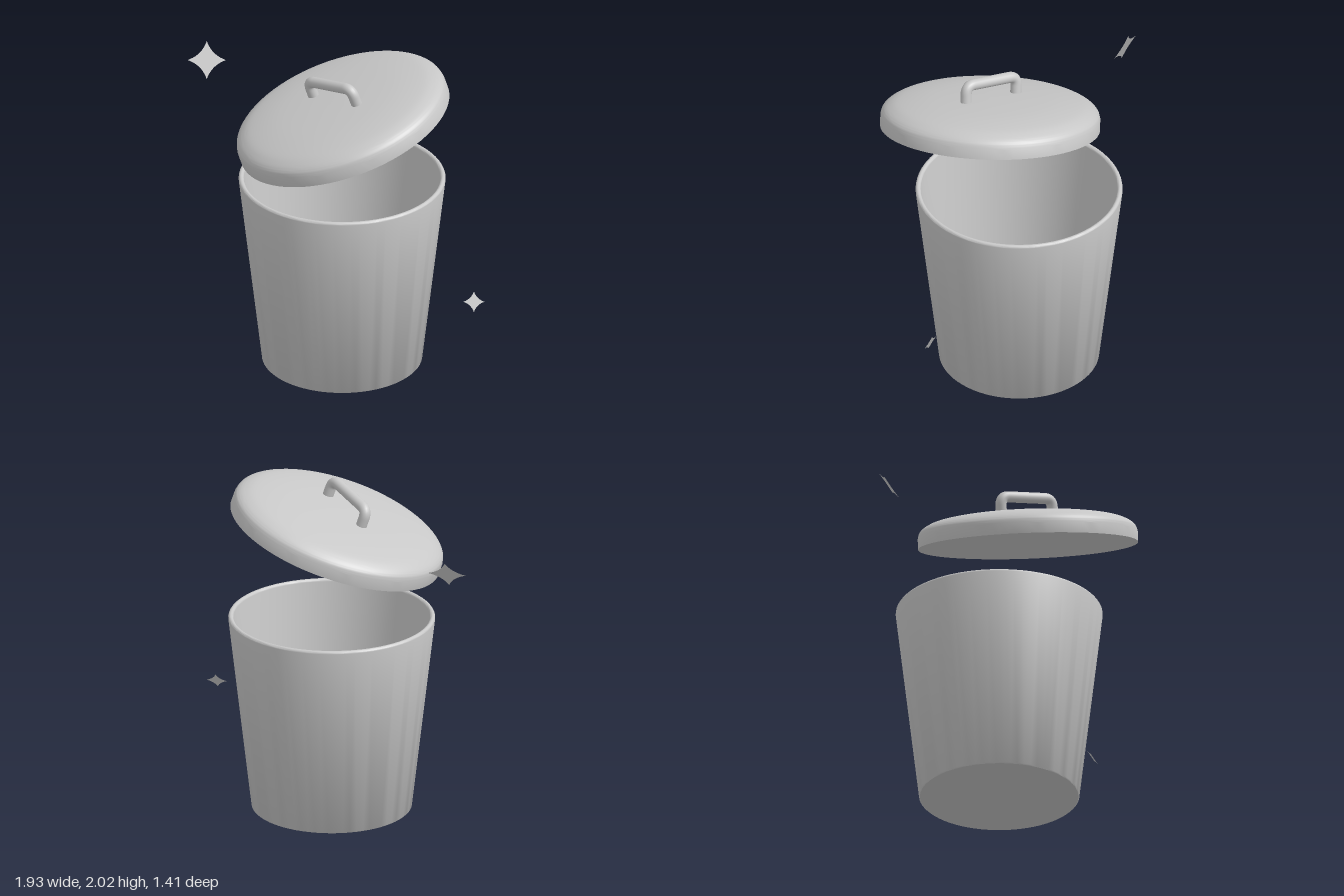
import * as THREE from 'three';
import { toCreasedNormals } from 'three/addons/utils/BufferGeometryUtils.js';

const V2 = (x, y) => new THREE.Vector2(x, y);
const V3 = (x, y, z) => new THREE.Vector3(x, y, z);

function named(name, geometry, material) {
  const mesh = new THREE.Mesh(geometry, material);
  mesh.name = name;
  return mesh;
}

// Turned solid with sharp corners kept
function turned(points) {
  return toCreasedNormals(new THREE.LatheGeometry(points, 72), 0.7);
}

// Four-pointed star with hollow sides
function starGeometry(r) {
  const shape = new THREE.Shape();
  const c = 0.26 * r;
  shape.moveTo(0, r);
  shape.quadraticCurveTo(c, c, r, 0);
  shape.quadraticCurveTo(c, -c, 0, -r);
  shape.quadraticCurveTo(-c, -c, -r, 0);
  shape.quadraticCurveTo(-c, c, 0, r);
  return new THREE.ShapeGeometry(shape, 10);
}

export function createModel() {
  const model = new THREE.Group();
  model.name = 'openBin';
  const grey = new THREE.MeshStandardMaterial({ color: 0xc8c8c8, side: THREE.DoubleSide });
  grey.name = 'plainGrey';

  // Tapered bin body with a rounded lip and hollow inside
  const lip = [];
  for (let i = 0; i <= 8; i++) {
    const a = (i / 8) * Math.PI;
    lip.push(V2(0.614 + 0.016 * Math.cos(a), 1.224 + 0.016 * Math.sin(a)));
  }
  const body = named('binBody', turned([
    V2(0, 0), V2(0.482, 0), V2(0.488, 0.006), ...lip, V2(0.46, 0.03), V2(0, 0.03),
  ]), grey);
  body.position.set(0.06, 0, -0.07);
  model.add(body);

  // Tilted lid: flat underside, upright rim, shallow dome
  const lid = new THREE.Group();
  lid.name = 'lid';
  lid.position.set(0.197, 1.675, 0.042);
  lid.rotation.set(THREE.MathUtils.degToRad(14), 0, THREE.MathUtils.degToRad(12), 'ZXY');
  const dome = new THREE.SplineCurve([
    V2(0.67, 0.065), V2(0.658, 0.1), V2(0.62, 0.131), V2(0.55, 0.157),
    V2(0.4, 0.18), V2(0.2, 0.192), V2(0, 0.196),
  ]).getPoints(36);
  lid.add(named('lidDome', turned([V2(0, 0), V2(0.67, 0), ...dome]), grey));

  // Lid handle: bent bar with rounded corners
  const w = 0.19, top = 0.295, bend = 0.055;
  const path = new THREE.CurvePath();
  path.add(new THREE.LineCurve3(V3(-w, 0.17, 0), V3(-w, top - bend, 0)));
  path.add(new THREE.QuadraticBezierCurve3(V3(-w, top - bend, 0), V3(-w, top, 0), V3(-w + bend, top, 0)));
  path.add(new THREE.LineCurve3(V3(-w + bend, top, 0), V3(w - bend, top, 0)));
  path.add(new THREE.QuadraticBezierCurve3(V3(w - bend, top, 0), V3(w, top, 0), V3(w, top - bend, 0)));
  path.add(new THREE.LineCurve3(V3(w, top - bend, 0), V3(w, 0.17, 0)));
  lid.add(named('lidHandle', new THREE.TubeGeometry(path, 64, 0.034, 20), grey));
  model.add(lid);

  // Floating sparkles, turned to the same diagonal
  const sparkles = [
    ['largeSparkle', 0.117, V3(-0.886, 1.764, 0.151)],
    ['smallSparkle', 0.064, V3(0.918, 0.59, -0.348)],
  ];
  for (const [name, r, at] of sparkles) {
    const star = named(name, starGeometry(r), grey);
    star.position.copy(at);
    star.lookAt(at.clone().add(V3(1, 1, 1)));
    model.add(star);
  }
  return model;
}
